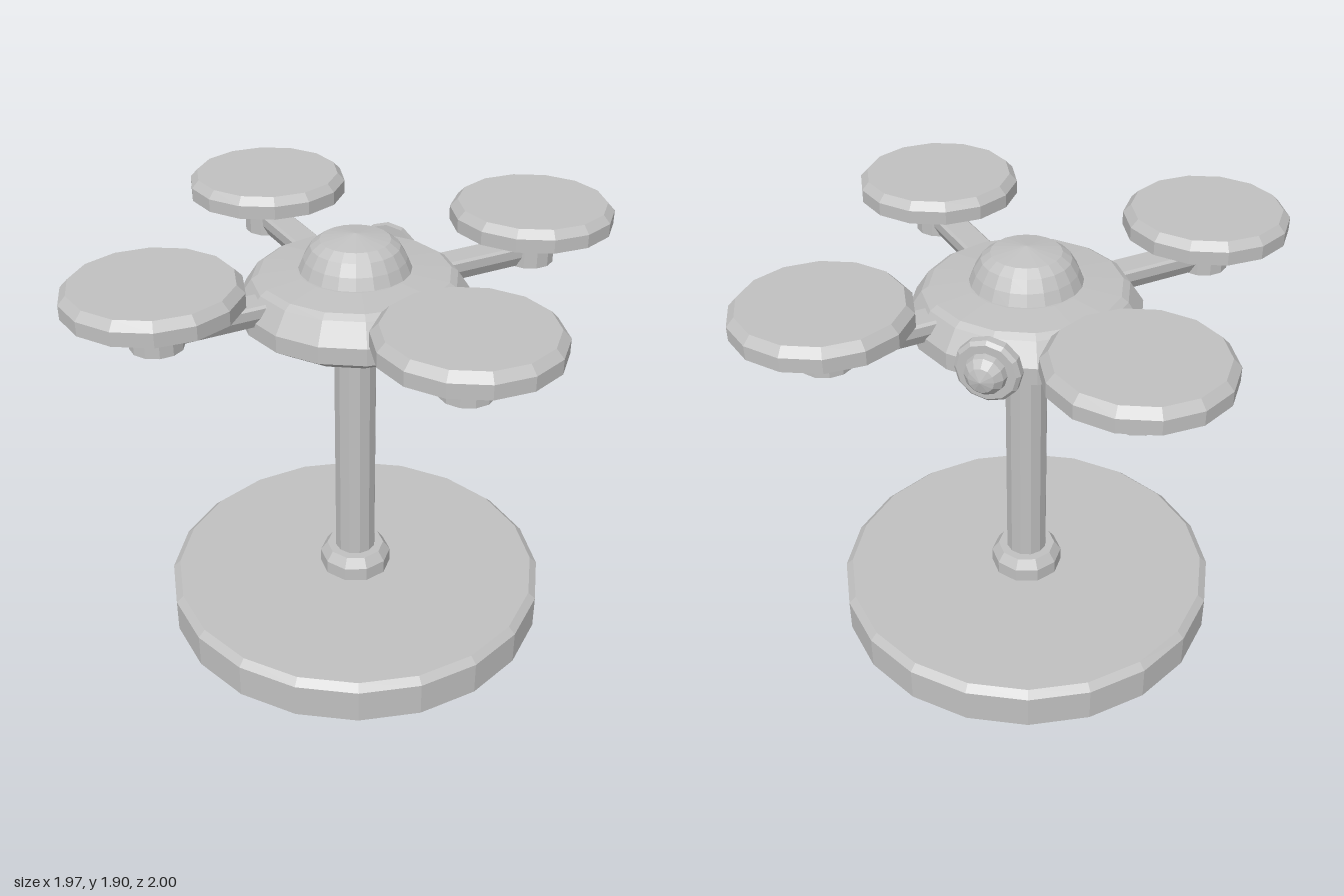
import * as THREE from 'three';

export function createModel() {
  const model = new THREE.Group();
  const grey = new THREE.MeshStandardMaterial({ color: 0xc0c0c0, flatShading: true, side: THREE.DoubleSide });
  grey.name = 'plain grey';

  const add = (parent, name, geometry) => {
    const mesh = new THREE.Mesh(geometry, grey);
    mesh.name = name;
    parent.add(mesh);
    return mesh;
  };
  // Turned part from a [radius, y] profile, listed bottom to top
  const turned = (parent, name, sides, profile) =>
    add(parent, name, new THREE.LatheGeometry(profile.map(([r, y]) => new THREE.Vector2(r, y)), sides));

  // Stand: hollow foot, collars and column
  turned(model, 'standBase', 20, [[0.888, 0], [0.888, 0.16], [0.855, 0.19], [0, 0.19]]);
  turned(model, 'lowerCollar', 10, [[0.167, 0.19], [0.167, 0.255], [0.135, 0.3], [0, 0.3]]);
  turned(model, 'column', 12, [[0.095, 0.28], [0.095, 1.4]]);
  turned(model, 'upperCollar', 10, [[0, 1.375], [0.105, 1.375], [0.166, 1.42], [0.166, 1.49]]);

  // Hull and its cap
  turned(model, 'body', 16, [[0, 1.485], [0.4, 1.485], [0.5, 1.55], [0.5, 1.625], [0.44, 1.715],
    [0.41, 1.735], [0.25, 1.75], [0, 1.75]]);
  turned(model, 'topDome', 20, [[0.243, 1.745], [0.22, 1.8], [0.19, 1.85], [0.15, 1.88], [0, 1.905]]);

  // Arm cross-section: wide above, tapered below
  const section = new THREE.Shape([[-0.045, 1.605], [0.045, 1.605], [0.067, 1.65], [0.067, 1.69],
    [0.055, 1.7], [-0.055, 1.7], [-0.067, 1.69], [-0.067, 1.65]].map(([x, y]) => new THREE.Vector2(x, y)));

  // Four diagonal arms, each with an open motor can and a hollow rotor disc
  for (const sx of [-1, 1]) {
    for (const sz of [-1, 1]) {
      const unit = new THREE.Group();
      unit.name = `${sz > 0 ? 'front' : 'back'}${sx > 0 ? 'Left' : 'Right'}Rotor`;
      model.add(unit);

      const armGeometry = new THREE.ExtrudeGeometry(section, { depth: 0.49, bevelEnabled: false });
      armGeometry.translate(0, 0, 0.38);
      add(unit, 'arm', armGeometry).rotation.y = Math.atan2(sx, sz);

      const pod = new THREE.Group();
      pod.name = 'rotorPod';
      pod.position.set(sx * 0.63, 0, sz * 0.634);
      unit.add(pod);
      turned(pod, 'motor', 12, [[0.112, 1.6], [0.112, 1.745], [0.095, 1.775], [0, 1.775]]);
      turned(pod, 'rotorDisc', 14, [[0.366, 1.785], [0.366, 1.845], [0.333, 1.88], [0, 1.88]]);
    }
  }

  // Round sensor on the back of the hull
  const sensor = new THREE.Group();
  sensor.name = 'rearSensor';
  sensor.position.set(0, 1.61, -0.475);
  sensor.rotation.x = -Math.PI / 2;
  model.add(sensor);
  turned(sensor, 'sensorPlate', 12, [[0, 0], [0.14, 0], [0.14, 0.035], [0.125, 0.05], [0, 0.05]]);
  turned(sensor, 'sensorLens', 12, [[0.09, 0.045], [0.083, 0.08], [0.055, 0.112], [0, 0.128]]);

  return model;
}
